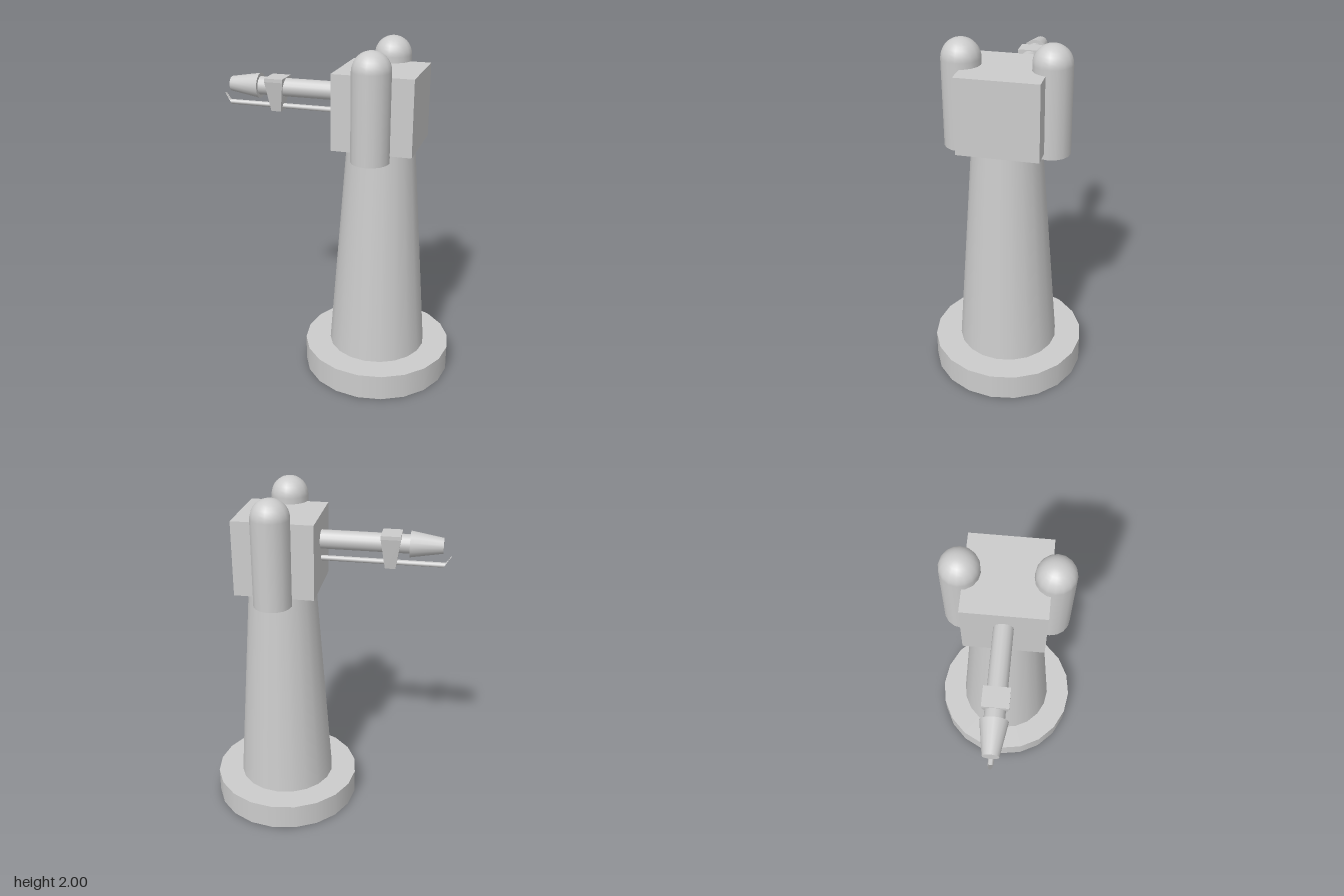
import * as THREE from 'three';
import { toCreasedNormals } from 'three/addons/utils/BufferGeometryUtils.js';

const CX = 0.255; // axis of the tower
const GUN_Y = 1.715;

export function createModel() {
  const group = new THREE.Group();
  const material = new THREE.MeshStandardMaterial({ color: 0xcccccc });

  const add = (name, geometry, x, y, z = 0) => {
    const mesh = new THREE.Mesh(geometry, material);
    mesh.name = name;
    mesh.position.set(x, y, z);
    group.add(mesh);
    return mesh;
  };

  // Upright cylinder or cone between two heights
  const upright = (name, rTop, rBottom, y0, y1) =>
    add(name, new THREE.CylinderGeometry(rTop, rBottom, y1 - y0, 20), CX, (y0 + y1) / 2);

  // Cylinder or cone lying along x, from x0 (radius r0) to x1 (radius r1)
  const lying = (name, x0, r0, x1, r1) => {
    const geometry = new THREE.CylinderGeometry(r0, r1, x1 - x0, 16);
    geometry.rotateZ(Math.PI / 2);
    return add(name, geometry, (x0 + x1) / 2, GUN_Y);
  };

  // Tower
  upright('base', 0.445, 0.445, 0, 0.155);
  upright('column', 0.195, 0.292, 0.155, 1.435);
  add('turretHousing', new THREE.BoxGeometry(0.454, 0.425, 0.45), CX - 0.002, 1.6475);

  // Domed side pods: flat bottom, straight wall, hemisphere
  const r = 0.108;
  const wall = new THREE.CylinderGeometry(r, r, 0.492, 16);
  const dome = new THREE.SphereGeometry(r, 16, 8, 0, Math.PI * 2, 0, Math.PI / 2);
  for (const [side, z] of [['front', 0.244], ['back', -0.244]]) {
    add(side + 'Pod', wall, CX, 1.646, z);
    add(side + 'PodDome', dome, CX, 1.892, z);
  }

  // Gun barrel and muzzle
  lying('barrel', -0.48, 0.053, 0.03, 0.053);
  lying('muzzle', -0.65, 0.043, -0.47, 0.073);

  // Bracket: a short block on top, tapering towards the bottom
  const bracket = new THREE.BoxGeometry(0.11, 0.195, 0.138, 1, 2, 1);
  const bp = bracket.attributes.position;
  for (let i = 0; i < bp.count; i++) {
    const y = bp.getY(i);
    if (Math.abs(y) < 0.01) bp.setY(i, 0.077);
    else if (y < 0) {
      bp.setX(i, bp.getX(i) * 0.53);
      bp.setZ(i, bp.getZ(i) * 0.53);
    }
  }
  add('bracket', toCreasedNormals(bracket.toNonIndexed(), 0.1), -0.366, 1.675);

  // Lower rod: three rings, the last one bent upwards and narrowed
  const rings = [
    { x: 0.03, y: 1.605, r: 0.015, tilt: 0 },
    { x: -0.662, y: 1.605, r: 0.015, tilt: -0.35 },
    { x: -0.692, y: 1.652, r: 0.009, tilt: -0.9 },
  ];
  const rod = new THREE.CylinderGeometry(1, 1, 2, 10, 2);
  const rp = rod.attributes.position;
  for (let i = 0; i < rp.count; i++) {
    const ring = rings[Math.round(rp.getY(i)) + 1];
    const up = rp.getX(i) * ring.r;
    rp.setXYZ(i, ring.x - up * Math.sin(-ring.tilt) * -1 * -1, ring.y + up * Math.cos(ring.tilt), rp.getZ(i) * ring.r);
  }
  // Rings run towards -x, so the section's up axis keeps the winding outward
  add('lowerRod', toCreasedNormals(rod.toNonIndexed(), 0.7), 0, 0);

  return group;
}
